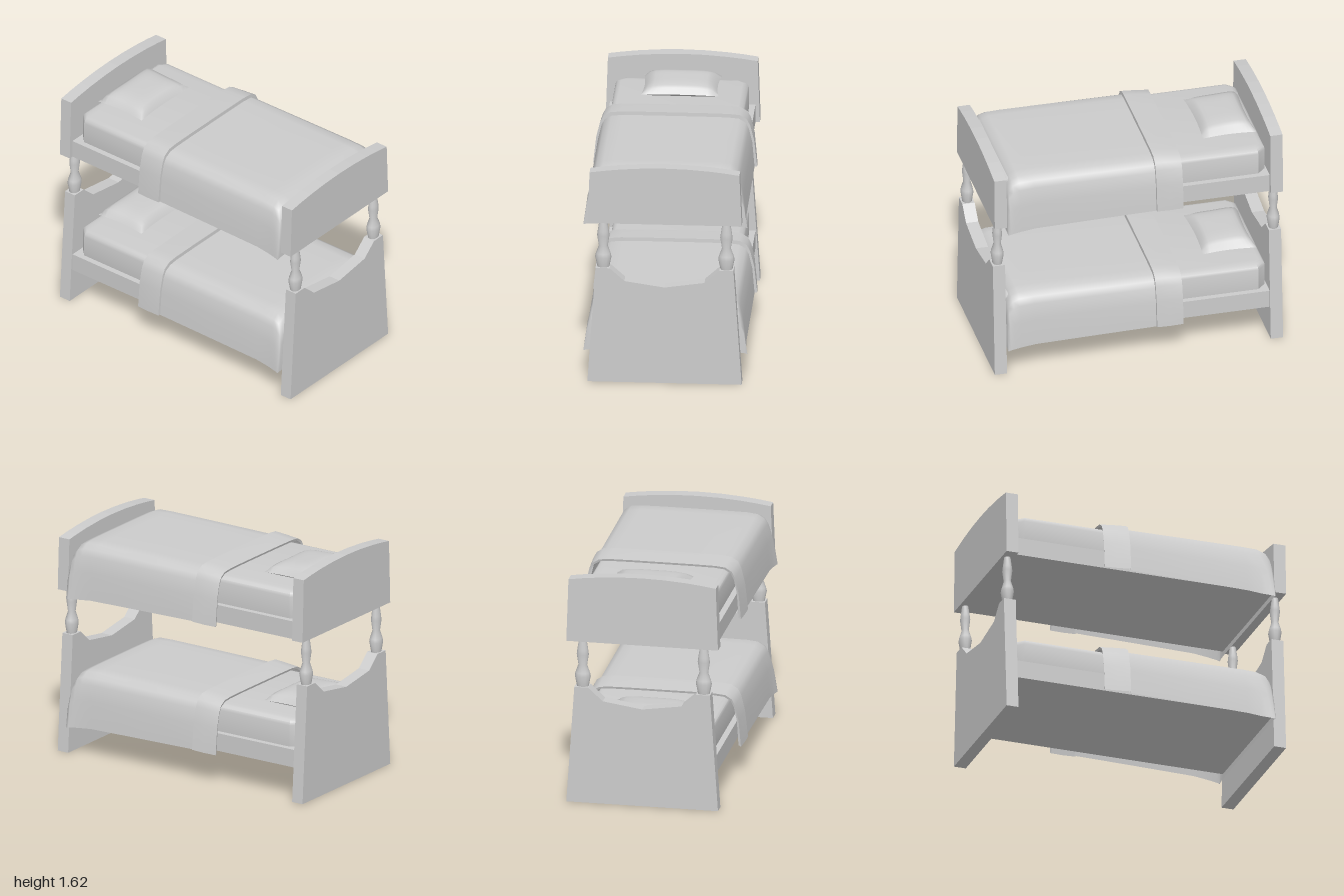
import * as THREE from 'three';
import { toCreasedNormals } from 'three/addons/utils/BufferGeometryUtils.js';

const grey = new THREE.MeshStandardMaterial({ color: 0xcccccc });
const cloth = new THREE.MeshStandardMaterial({ color: 0xcccccc, side: THREE.DoubleSide });

function part(name, geometry, material = grey) {
  const mesh = new THREE.Mesh(geometry, material);
  mesh.name = name;
  return mesh;
}

// Symmetric outline from right-hand points listed bottom to top centre
function mirroredShape(half) {
  const left = half.filter(([x]) => x > 0).map(([x, y]) => [-x, y]).reverse();
  return new THREE.Shape([...half, ...left].map(([x, y]) => new THREE.Vector2(x, y)));
}

function board(name, half, z) {
  const geo = new THREE.ExtrudeGeometry(mirroredShape(half), { depth: 0.085, bevelEnabled: false });
  return part(name, geo.translate(0, 0, z - 0.0425));
}

// Surface through a grid of points; f(row, column) returns [x, y, z]
function sheet(rows, cols, f, crease) {
  const pos = [], index = [];
  for (let i = 0; i < rows; i++) {
    for (let j = 0; j < cols; j++) {
      pos.push(...f(i, j));
      if (i < rows - 1 && j < cols - 1) {
        const a = i * cols + j, b = a + cols;
        index.push(a, b, a + 1, b, b + 1, a + 1);
      }
    }
  }
  const geo = new THREE.BufferGeometry();
  geo.setAttribute('position', new THREE.Float32BufferAttribute(pos, 3));
  geo.setIndex(index);
  geo.computeVertexNormals();
  return crease ? toCreasedNormals(geo, crease) : geo;
}

// Draped cross-section: [x, share of the drop from top to hem]
const DRAPE = [[0, 0], [0.2, 0], [0.36, 0.005], [0.43, 0.025], [0.475, 0.1], [0.497, 0.22], [0.52, 0.5], [0.535, 1]];
const SECTION = [...DRAPE.slice(1).reverse().map(([x, t]) => [-x, t]), ...DRAPE];

// Stations run from head to foot: [z, top height, hem height, extra width]
function drape(stations, crease) {
  return sheet(stations.length, SECTION.length, (i, j) => {
    const [z, top, hem, extra] = stations[i];
    const [x, t] = SECTION[j];
    return [x + Math.sign(x) * extra * (0.4 + 0.6 * t), top + (hem - top) * t, z];
  }, crease);
}

function pillow() {
  const n = 15;
  const half = (dir, height) => sheet(n, n, (i, j) => {
    const u = dir * (2 * j / (n - 1) - 1), v = 2 * i / (n - 1) - 1;
    // edges draw in between the pointed corners
    const x = 0.005 + 0.262 * u * (1 - 0.06 * (1 - v * v));
    const z = -0.693 + 0.187 * v * (1 - 0.08 * (1 - u * u));
    const puff = Math.sqrt(Math.max(0, (1 - u ** 4) * (1 - v ** 4)));
    return [x, 0.575 + height * puff - 0.01 * v * puff * (dir > 0 ? 1 : 0), z];
  });
  const group = new THREE.Group();
  group.name = 'pillow';
  group.add(part('pillowTop', half(1, 0.067), cloth), part('pillowUnderside', half(-1, -0.027), cloth));
  return group;
}

function mattress() {
  // plan outline with cut corners, rounded along the top edge
  const b = 0.04, w = 0.45 - b, l = 0.905 - b, c = 0.035;
  const shape = new THREE.Shape([
    [w, -l + c], [w, l - c], [w - c, l], [-w + c, l], [-w, l - c], [-w, -l + c], [-w + c, -l], [w - c, -l],
  ].map(([x, y]) => new THREE.Vector2(x, y)));
  const geo = new THREE.ExtrudeGeometry(shape, { depth: 0.21, bevelThickness: b, bevelSize: b, bevelSegments: 3 });
  geo.rotateX(-Math.PI / 2).translate(0, 0.30, 0);
  return part('mattress', toCreasedNormals(geo, 0.7));
}

function bed(name, y) {
  const group = new THREE.Group();
  group.name = name;
  group.position.y = y;
  const frame = part('bedFrame', new THREE.BoxGeometry(0.98, 0.125, 1.83));
  frame.position.y = 0.2975;
  const blanket = drape([
    [-0.13, 0.58, 0.225, 0], [0.3, 0.584, 0.218, 0], [0.72, 0.587, 0.21, 0], [0.82, 0.583, 0.2, 0.004],
    [0.865, 0.565, 0.196, 0.01], [0.895, 0.52, 0.193, 0.014], [0.91, 0.45, 0.19, 0.018], [0.914, 0.2, 0.19, 0.018],
  ]);
  // turned-down cuff with a thin lip at each end
  const cuff = drape([
    [-0.300, 0.575, 0.228, -0.012], [-0.305, 0.59, 0.22, 0.006], [-0.21, 0.599, 0.222, 0.013],
    [-0.12, 0.605, 0.228, 0.018], [-0.118, 0.578, 0.228, 0],
  ], 0.7);
  group.add(frame, mattress(), pillow(), part('blanket', blanket, cloth), part('blanketCuff', cuff, cloth));
  return group;
}

function turnedPost(x, z) {
  const profile = [[0, 0.815], [0.04, 0.815], [0.055, 0.89], [0.05, 0.915], [0.03, 0.97], [0.042, 1.045], [0.038, 1.075], [0.026, 1.15], [0, 1.15]];
  const geo = new THREE.LatheGeometry(profile.map(([r, y]) => new THREE.Vector2(r, y)), 12);
  const post = part('turnedPost', toCreasedNormals(geo, 0.8));
  // slimmed front to back to sit within the boards
  post.scale.z = 0.8;
  post.position.set(x, 0, z);
  return post;
}

export function createModel() {
  const model = new THREE.Group();
  model.name = 'bunkBed';
  for (const s of [1, -1]) {
    const z = s * 0.9575;
    // lower end board with a scooped top
    model.add(board('lowerEndBoard', [[0.52, 0], [0.465, 0.82], [0.37, 0.82], [0.27, 0.73], [0, 0.69]], z));
    // arched upper end board, taller at the head
    const top = s > 0 ? 1.55 : 1.625;
    const arch = [0.505, 0.41, 0.3, 0.15, 0].map((x) => [x, top - 0.04 * (x / 0.505) ** 2]);
    model.add(board(s > 0 ? 'upperFootboard' : 'upperHeadboard', [[0.52, 1.145], ...arch], z));
    for (const side of [1, -1]) model.add(turnedPost(side * 0.415, z));
  }
  model.add(bed('lowerBed', 0), bed('upperBed', 0.91));
  return model;
}
